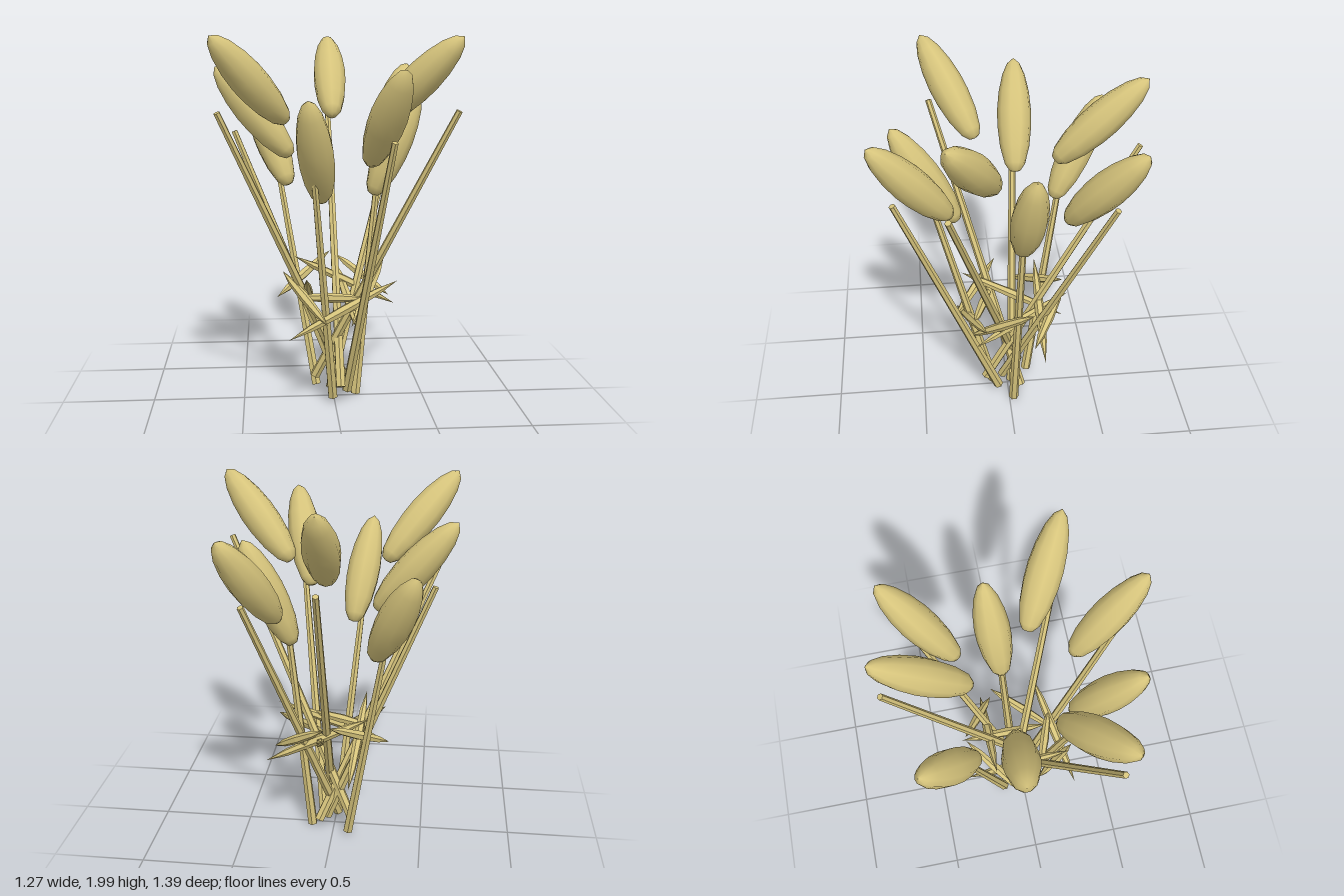
import * as THREE from 'three';

const UP = new THREE.Vector3(0, 1, 0);

// Turn an upright part (y axis) so that it points along dir, centred on pos
function aim(mesh, pos, dir) {
  mesh.position.copy(pos);
  mesh.quaternion.setFromUnitVectors(UP, dir.clone().normalize());
  return mesh;
}

// Place an upright part between two points
function between(mesh, a, b) {
  return aim(mesh, a.clone().add(b).multiplyScalar(0.5), b.clone().sub(a));
}

const V = (p) => new THREE.Vector3(...p);
const lathe = (pts, sides) => new THREE.LatheGeometry(pts.map((p) => new THREE.Vector2(...p)), sides);

export function createModel() {
  const model = new THREE.Group();
  const straw = new THREE.MeshStandardMaterial({ color: 0xd6c47c });
  straw.name = 'straw';
  const strawFlat = straw;

  // Each stalk: stem bottom, stem top, head centre, head direction
  const stalks = [
    [[0.03, 0.1, 0.13], [0.01, 1.62, -0.68], [0.01, 1.77, -0.465], [0, 0.69, -0.72]],
    [[-0.1, 0.1, -0.07], [0.61, 1.62, 0.33], [0.43, 1.77, 0.205], [0.63, 0.7, 0.4]],
    [[0.08, 0.06, -0.07], [-0.6, 1.62, 0.38], [-0.44, 1.77, 0.275], [-0.6, 0.7, 0.42]],
    [[0.07, 0.06, 0.06], [0.25, 1.49, 0.59], [0.225, 1.59, 0.495], [0.2, 0.77, 0.61]],
    [[0.04, 0.06, -0.02], [-0.53, 1.49, -0.08], [-0.425, 1.59, -0.08], [-0.65, 0.77, -0.05]],
    [[-0.02, 0.06, 0.03], [0.4, 1.49, -0.5], [0.37, 1.59, -0.44], [0.355, 0.77, -0.52]],
    [[0.125, 0.005, -0.025], [0.25, 1.29, -0.06], [0.34, 1.42, -0.075], [0.4, 0.92, -0.06]],
    [[-0.01, 0.03, 0.085], [-0.125, 1.29, 0.41], [-0.12, 1.42, 0.425], [-0.14, 0.85, 0.52]],
    [[-0.09, 0.03, -0.12], [-0.3, 1.29, -0.33], [-0.34, 1.42, -0.42], [-0.34, 0.83, -0.46]],
  ];

  // Plump seed head, slightly narrower toward the tip
  const headGeo = lathe([
    [0, -0.31], [0.03, -0.302], [0.055, -0.265], [0.08, -0.17], [0.092, -0.06], [0.093, 0.03],
    [0.083, 0.13], [0.062, 0.225], [0.035, 0.287], [0, 0.318],
  ], 10);

  for (const [bottom, top, centre, dir] of stalks) {
    const a = V(bottom), b = V(top);
    const stalk = new THREE.Group();
    stalk.name = 'stalk';

    // Tapered six-sided stem
    const stemGeo = new THREE.CylinderGeometry(0.017, 0.028, a.distanceTo(b), 6).toNonIndexed();
    stemGeo.computeVertexNormals();
    const stem = between(new THREE.Mesh(stemGeo, strawFlat), a, b);
    stem.name = 'stem';

    const head = aim(new THREE.Mesh(headGeo, straw), V(centre), V(dir));
    head.name = 'seedHead';
    stalk.add(stem, head);
    model.add(stalk);
  }

  // Pointed straws woven around the bundle
  const ties = [
    [[-0.21, 0.77, -0.175], [0.36, 0.485, -0.175]],
    [[-0.255, 0.42, 0.28], [0.335, 0.7, 0.14]],
    [[-0.16, 0.74, 0.25], [-0.11, 0.42, -0.335]],
    [[0.13, 0.42, 0.19], [0.03, 0.7, -0.335]],
    [[-0.31, 0.57, -0.04], [0, 0.77, -0.31]],
    [[-0.28, 0.74, 0.05], [-0.05, 0.5, 0.3]],
    [[0.03, 0.75, -0.31], [0.32, 0.55, -0.12]],
    [[0.29, 0.76, -0.12], [0.08, 0.47, 0.22]],
    [[-0.2, 0.6, 0.08], [0.15, 0.62, 0.2]],
  ];
  const tieGeo = lathe([[0, -0.5], [0.02, -0.3], [0.027, 0], [0.02, 0.3], [0, 0.5]], 6).toNonIndexed();
  tieGeo.computeVertexNormals();
  for (const [p, q] of ties) {
    const a = V(p), b = V(q);
    const tie = between(new THREE.Mesh(tieGeo, strawFlat), a, b);
    tie.scale.y = a.distanceTo(b);
    tie.name = 'tieStraw';
    model.add(tie);
  }

  return model;
}
